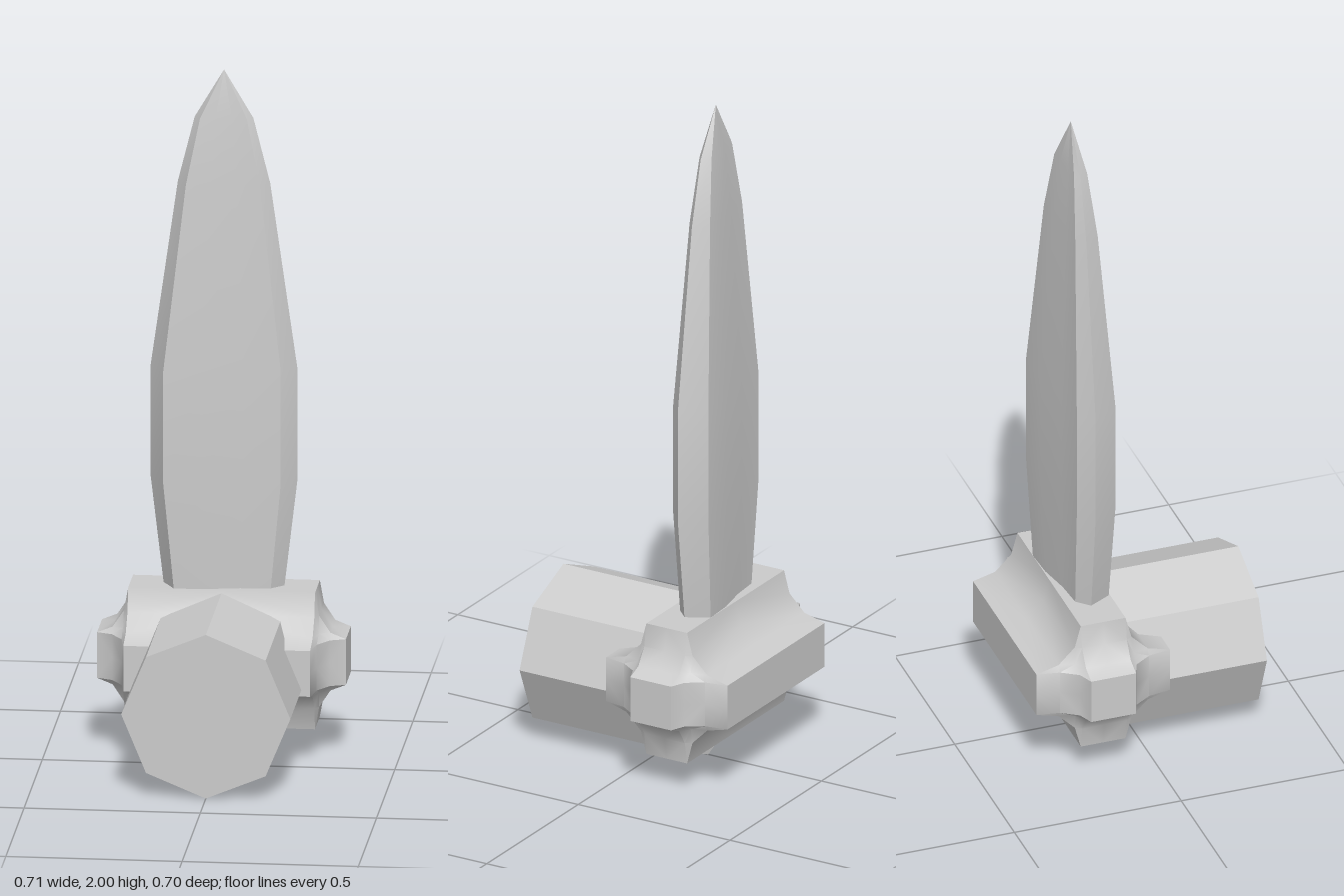
import * as THREE from 'three';
import { toCreasedNormals } from 'three/addons/utils/BufferGeometryUtils.js';

const material = new THREE.MeshStandardMaterial({ color: 0xcccccc });

function part(name, geometry) {
  const mesh = new THREE.Mesh(geometry, material);
  mesh.name = name;
  return mesh;
}

function fromTriangles(positions, crease) {
  const g = new THREE.BufferGeometry();
  g.setAttribute('position', new THREE.Float32BufferAttribute(positions, 3));
  return toCreasedNormals(g, THREE.MathUtils.degToRad(crease));
}

// Block whose edges are all scooped out: one octant, mirrored to the other seven
function hubGeometry() {
  const X = 0.353, R = 0.2, ex = 0.088, e = 0.133;
  const xi = X - ex, ri = R - e;
  const positions = [];
  const steps = [0, 1, 2, 3].map((k) => k * Math.PI / 6);
  const xy = (z) => steps.map((t) => [X - ex * Math.cos(t), R - e * Math.sin(t), z]);
  const xz = (y) => steps.map((t) => [X - ex * Math.cos(t), y, R - e * Math.sin(t)]);
  const yz = (x) => steps.map((t) => [x, R - e * Math.sin(t), R - e * Math.cos(t)]);

  for (const sx of [1, -1]) for (const sy of [1, -1]) for (const sz of [1, -1]) {
    const out = new THREE.Vector3(sx, sy, sz);
    const tri = (...corners) => {
      const [a, b, c] = corners.map((p) => new THREE.Vector3(...p).multiply(out));
      const n = b.clone().sub(a).cross(c.clone().sub(a));
      for (const p of n.dot(out) > 0 ? [a, b, c] : [a, c, b]) positions.push(p.x, p.y, p.z);
    };
    const quad = (a, b, c, d) => { tri(a, b, c); tri(a, c, d); };

    // flat end faces
    quad([X, 0, 0], [X, ri, 0], [X, ri, ri], [X, 0, ri]);
    quad([0, R, 0], [xi, R, 0], [xi, R, ri], [0, R, ri]);
    quad([0, 0, R], [xi, 0, R], [xi, ri, R], [0, ri, R]);

    // concave strips along each edge
    for (const [p, q] of [[xy(0), xy(ri)], [xz(0), xz(ri)], [yz(0), yz(xi)]]) {
      for (let k = 0; k < 3; k++) quad(p[k], p[k + 1], q[k + 1], q[k]);
    }

    // concave triangular corner, with a sunken middle point
    const ab = yz(xi), ac = xy(ri), bc = xz(ri);
    const mean = (pts) => [0, 1, 2].map((i) => pts.reduce((s, p) => s + p[i], 0) / pts.length);
    const edge = mean([ab[1], ab[2], ac[1], ac[2], bc[1], bc[2]]);
    const tips = mean([ab[0], ab[3], ac[3]]);
    const mid = edge.map((v, i) => 1.5 * v - 0.5 * tips[i]);
    const ring = [ab[1], ab[2], bc[1], bc[2], ac[2], ac[1]];
    ring.forEach((p, i) => tri(mid, p, ring[(i + 1) % 6]));
    tri(ab[0], ab[1], ac[1]);
    tri(ab[3], ab[2], bc[1]);
    tri(ac[3], ac[2], bc[2]);
  }
  return fromTriangles(positions, 38);
}

// Blade with a skewed section, the same after half a turn, tapering to a point
function bladeGeometry() {
  const half = [[-0.208, 0], [-0.165, 0.075], [-0.055, 0.07], [0.06, 0.049], [0.165, 0.041]];
  const section = [...half, ...half.map(([x, z]) => [-x, -z])];
  // height, width scale, thickness scale
  const levels = [
    [0.42, 0.77, 0.82], [0.5, 0.83, 0.87], [0.8, 1, 1], [1.13, 1, 1],
    [1.67, 0.63, 0.58], [1.86, 0.4, 0.34], [2, 0, 0],
  ];
  const rings = levels.map(([y, w, t]) => section.map(([x, z]) => [x * w, y, z * t]));
  const positions = [];
  for (let j = 0; j < rings.length - 1; j++) {
    for (let i = 0; i < section.length; i++) {
      const n = (i + 1) % section.length;
      const a = rings[j][i], b = rings[j][n], c = rings[j + 1][n], d = rings[j + 1][i];
      positions.push(...a, ...b, ...c);
      if (j < rings.length - 2) positions.push(...a, ...c, ...d);
    }
  }
  for (let i = 1; i < section.length - 1; i++) {
    positions.push(...rings[0][0], ...rings[0][i + 1], ...rings[0][i]);
  }
  return fromTriangles(positions, 32);
}

export function createModel() {
  const group = new THREE.Group();
  group.name = 'bladeOnHub';

  // Eight-sided shaft pointing forward
  const shaftGeometry = new THREE.CylinderGeometry(0.24, 0.24, 0.477, 8).rotateX(Math.PI / 2);
  const shaft = part('shaft', toCreasedNormals(shaftGeometry, 0.4));
  shaft.position.set(0, 0.243, 0.1115);

  const hub = part('hub', hubGeometry());
  hub.position.set(0, 0.291, -0.15);

  const blade = part('blade', bladeGeometry());
  blade.position.z = -0.152;

  group.add(shaft, hub, blade);
  return group;
}
